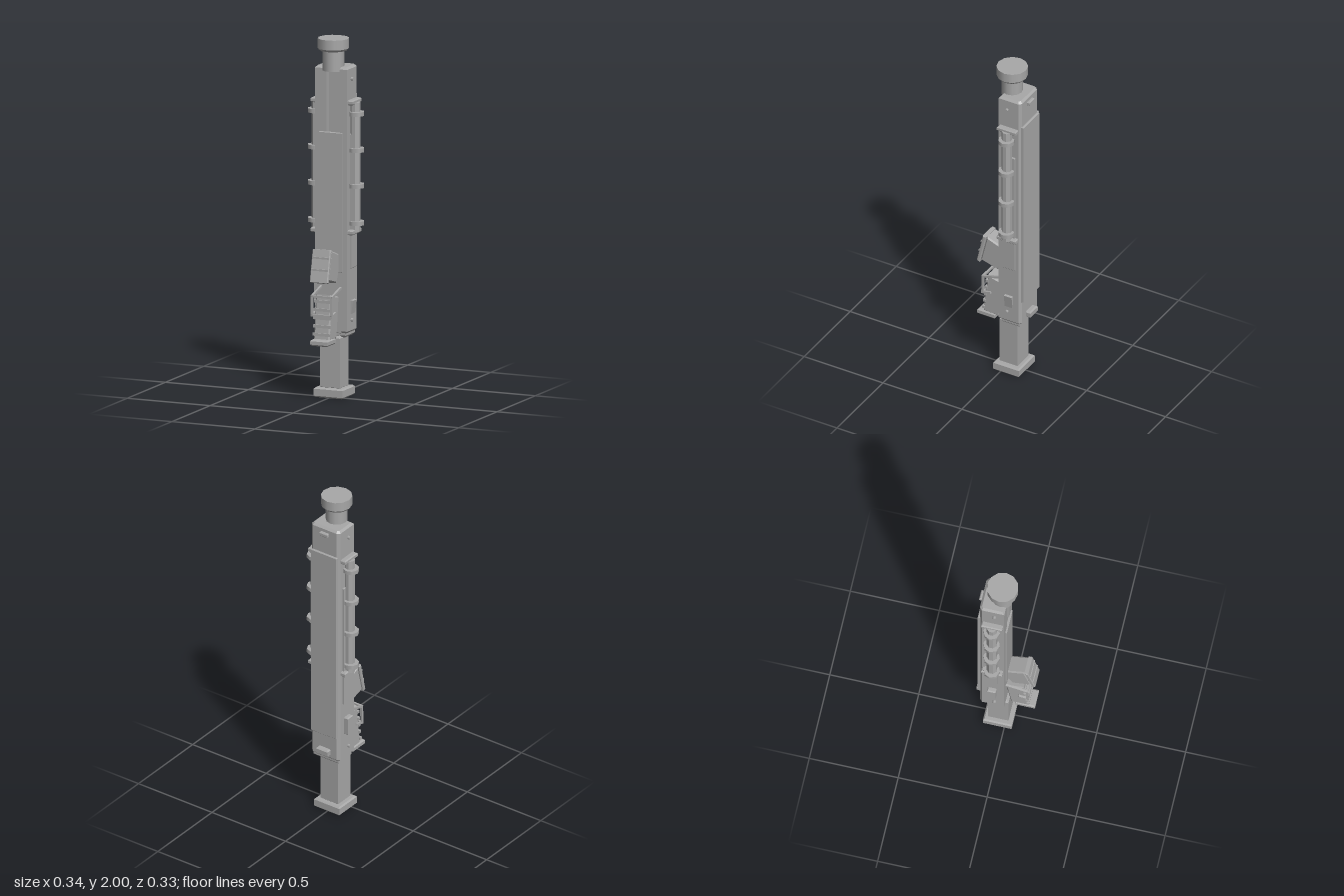
import * as THREE from 'three';

export function createModel() {
  const root = new THREE.Group();
  const grey = new THREE.MeshStandardMaterial({ color: 0xa8a8a8 });
  grey.name = 'plain grey';

  const add = (name, geometry, x = 0, y = 0, z = 0) => {
    const mesh = new THREE.Mesh(geometry, grey);
    mesh.name = name;
    mesh.position.set(x, y, z);
    root.add(mesh);
    return mesh;
  };
  const extrude = (points, depth, bevel) => new THREE.ExtrudeGeometry(
    new THREE.Shape(points.map(([a, b]) => new THREE.Vector2(a, b))),
    {
      depth: depth - 2 * bevel, bevelEnabled: bevel > 0, bevelSegments: 1,
      bevelSize: bevel, bevelThickness: bevel, bevelOffset: -bevel,
    }).translate(0, 0, bevel);
  // Plan outline of [x, z] corners raised from y0 to y1
  const upright = (name, points, y0, y1, bevel) =>
    add(name, extrude(points.map(([x, z]) => [x, -z]), y1 - y0, bevel).rotateX(-Math.PI / 2), 0, y0);
  // Side outline of [z, y] corners spread across the width, centred on x = 0
  const across = (name, points, width, bevel) =>
    add(name, extrude(points, width, bevel).rotateY(-Math.PI / 2), width / 2);
  // Chamfered block given by its limits
  const block = (name, x0, x1, y0, y1, z0, z1, bevel = 0.006) =>
    upright(name, [[x0, z1], [x1, z1], [x1, z0], [x0, z0]], y0, y1, bevel);
  const bar = (name, from, to, size) => {
    const a = new THREE.Vector3(...from), b = new THREE.Vector3(...to);
    const mesh = add(name, new THREE.BoxGeometry(size, size, a.distanceTo(b) + size));
    mesh.position.copy(a).add(b).multiplyScalar(0.5);
    mesh.lookAt(b);
  };

  // Cap and neck
  add('cap', new THREE.CylinderGeometry(0.087, 0.087, 0.055, 12).toNonIndexed(), 0, 1.9725, -0.028);
  add('capRim', new THREE.CylinderGeometry(0.087, 0.077, 0.012, 12), 0, 1.939, -0.028);
  add('neck', new THREE.CylinderGeometry(0.06, 0.06, 0.12, 12), 0, 1.88, -0.028);

  // Main body, with a channel down the front and chamfered back corners
  upright('body', [
    [-0.097, 0.003], [-0.027, 0.003], [-0.027, -0.03], [0.027, -0.03], [0.027, 0.003], [0.097, 0.003],
    [0.097, -0.123], [0.08, -0.138], [-0.08, -0.138], [-0.097, -0.123],
  ], 0.36, 1.845, 0.012);
  block('bodyFoot', -0.085, 0.085, 0.335, 0.375, -0.125, -0.008, 0.012);
  block('frontPlate', -0.07, 0.07, 0.7, 1.48, -0.005, 0.012, 0.003);
  block('frontLowerPlate', -0.06, 0.06, 0.36, 0.7, -0.035, 0.003, 0.003);
  block('backPlate', -0.086, 0.086, 0.51, 1.68, -0.149, -0.13, 0.004);
  block('backUpperTab', -0.028, 0.028, 1.79, 1.815, -0.154, -0.13, 0.005);
  block('backLowerTab', -0.04, 0.04, 0.385, 0.425, -0.167, -0.13, 0.007);

  // Bottom post and foot
  block('post', -0.06, 0.06, 0.045, 0.345, -0.096, 0.018, 0.012);
  block('foot', -0.087, 0.087, 0, 0.055, -0.12, 0.042, 0.008);

  // Side panels, pins, rails and clamps
  for (const s of [-1, 1]) {
    const mid = s * 0.1;
    block('sidePanel', mid - 0.006, mid + 0.006, 0.72, 1.47, -0.105, -0.035, 0.003);
    for (const y of [0.43, 1.775])
      add('pin', new THREE.CylinderGeometry(0.01, 0.01, 0.03, 8).rotateZ(Math.PI / 2), s * 0.096, y, -0.052);
    for (const y of [0.91, 1.635])
      block('railBracket', s * 0.1 - 0.027, s * 0.1 + 0.027, y, y + 0.027, -0.122, -0.003, 0.006);
    add('rail', new THREE.CylinderGeometry(0.029, 0.029, 0.72, 8).rotateY(Math.PI / 8).toNonIndexed(),
      s * 0.116, 1.285, -0.062).geometry.computeVertexNormals();
    for (const y of [0.972, 1.18, 1.38, 1.582])
      add('railClamp', new THREE.CylinderGeometry(0.046, 0.046, 0.023, 8), s * 0.122, y, -0.062);
  }
  block('rightSideBlock', -0.122, -0.09, 0.52, 0.63, -0.09, -0.04, 0.006);
  add('leftSideLever', new THREE.BoxGeometry(0.016, 0.075, 0.05), 0.1, 0.503, -0.065).rotation.z = -0.15;

  // Upper tilted grip with its front pad
  across('upperGrip', [[0.105, 0.84], [0, 0.802], [0, 0.715], [0.037, 0.645], [0.145, 0.675]], 0.1, 0.008);
  across('upperGripPad', [[0.128, 0.845], [0.105, 0.842], [0.148, 0.66], [0.168, 0.668]], 0.11, 0.005);
  for (const [y, z] of [[0.8, 0.138], [0.735, 0.153]])
    bar('padRib', [-0.045, y, z], [0.045, y, z], 0.01);

  // Lower grip, ribs and end plate
  across('lowerGrip', [[0.1, 0.59], [0, 0.565], [0.028, 0.335], [0.13, 0.34]], 0.095, 0.008);
  for (let i = 0; i < 5; i++) {
    const y = 0.37 + i * 0.045;
    const z = 0.128 - (y - 0.34) * 0.12;
    bar('gripRib', [-0.045, y, z], [0.045, y, z], 0.016);
  }
  block('gripEndPlate', -0.052, 0.052, 0.31, 0.345, 0.053, 0.165, 0.008);

  // Wire guard around the lower grip
  const guard = [[0.615, 0], [0.58, 0.123], [0.475, 0.125], [0.485, 0.08]];
  for (const x of [-0.059, 0.059])
    for (let i = 0; i < 3; i++)
      bar('guardArm', [x, ...guard[i]], [x, ...guard[i + 1]], 0.012);
  for (const [y, z] of [guard[1], guard[2]])
    bar('guardCrossbar', [-0.059, y, z], [0.059, y, z], 0.012);

  return root;
}
